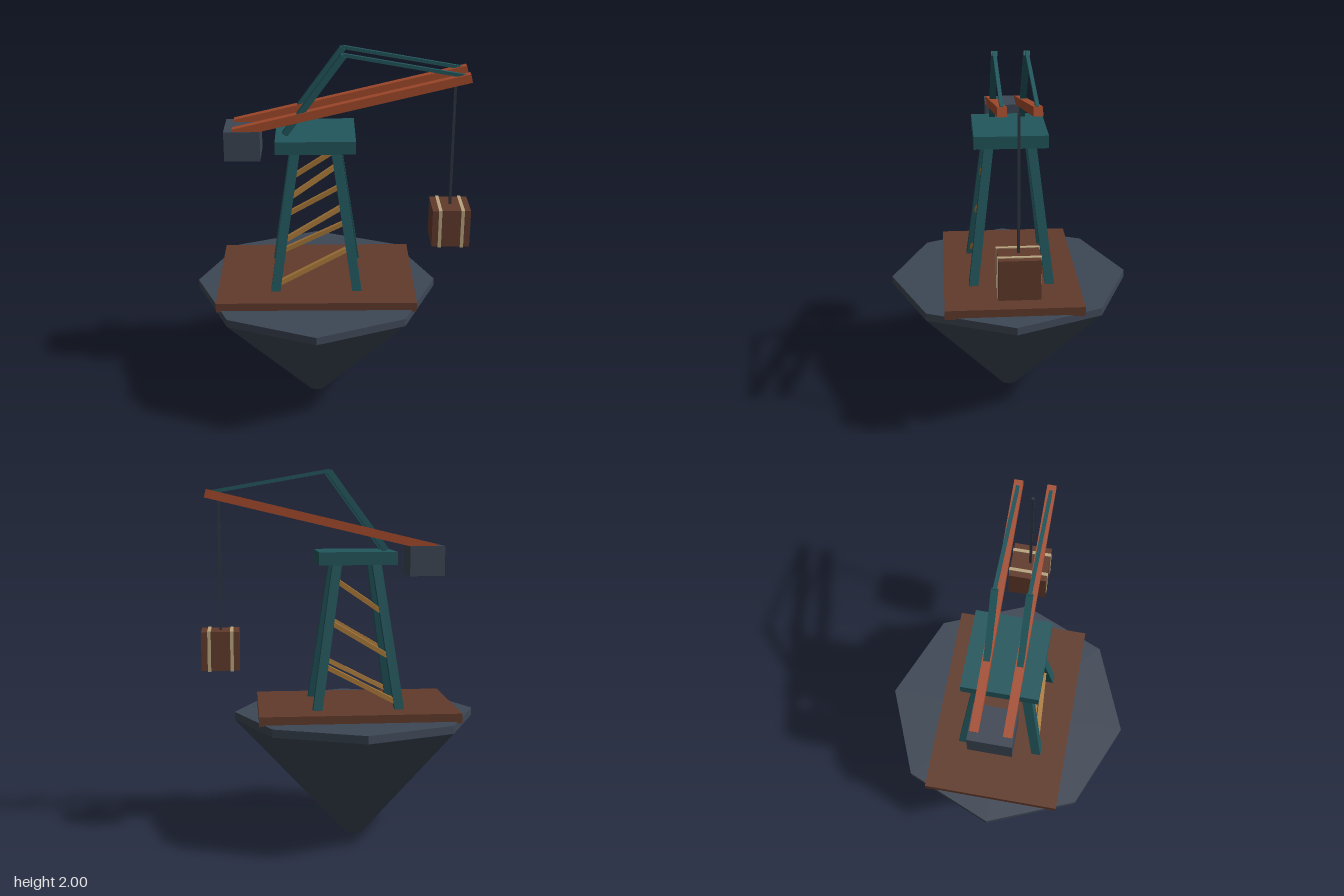
import * as THREE from 'three';

const paint = (name, color, flat = true) => {
  const m = new THREE.MeshStandardMaterial({ color, flatShading: flat });
  m.name = name;
  return m;
};

export function createModel() {
  const slate = paint('slate', 0x3d4654);
  const brown = paint('brown wood', 0x613a2b);
  const teal = paint('teal', 0x22575d);
  const rust = paint('rust', 0xa34a2b);
  const ochre = paint('ochre', 0xaf7d3c);
  const cream = paint('cream', 0xb9a47e);
  const rope = paint('rope', 0x2f3540);

  const model = new THREE.Group();
  model.name = 'harborCrane';
  const CX = -0.088; // centre line of base and tower

  const add = (name, geo, mat, x = 0, y = 0, z = 0) => {
    const mesh = new THREE.Mesh(geo, mat);
    mesh.name = name;
    mesh.position.set(x, y, z);
    model.add(mesh);
    return mesh;
  };
  // Box given by its extents
  const block = (name, mat, x0, x1, y0, y1, halfZ, z = 0) =>
    add(name, new THREE.BoxGeometry(x1 - x0, y1 - y0, halfZ * 2), mat, (x0 + x1) / 2, (y0 + y1) / 2, z);
  // Square bar between two points, its local z running along the bar
  const bar = (name, mat, a, b, thick, wide = thick) => {
    const p = new THREE.Vector3(...a), q = new THREE.Vector3(...b);
    const mesh = add(name, new THREE.BoxGeometry(wide, thick, p.distanceTo(q)), mat);
    mesh.position.copy(p).add(q).multiplyScalar(0.5);
    mesh.lookAt(q);
    return mesh;
  };

  // Octagonal rock base: rim over an inverted cone
  add('baseRim', new THREE.CylinderGeometry(0.656, 0.656, 0.042, 8), slate, CX, 0.671, 0);
  add('baseCone', new THREE.CylinderGeometry(0.656, 0.05, 0.65, 8), slate, CX, 0.325, 0);
  block('deck', brown, -0.617, 0.441, 0.684, 0.735, 0.367);

  // Tower: four slanted legs, made by shearing boxes
  const Y0 = 0.72, Y1 = 1.51;
  const legX = (y) => THREE.MathUtils.mapLinear(y, Y0, Y1, 0.22, 0.104);
  const legZ = (y) => THREE.MathUtils.mapLinear(y, Y0, Y1, 0.208, 0.111);
  for (const sx of [-1, 1]) {
    for (const sz of [-1, 1]) {
      const geo = new THREE.BoxGeometry(0.05, Y1 - Y0, 0.05);
      geo.translate(0, (Y0 + Y1) / 2, 0);
      const p = geo.attributes.position;
      for (let i = 0; i < p.count; i++) {
        const y = p.getY(i);
        p.setX(i, p.getX(i) + sx * legX(y));
        p.setZ(i, p.getZ(i) + sz * legZ(y));
      }
      geo.computeVertexNormals();
      add('towerLeg', geo, teal, CX, 0, 0);
    }
  }
  block('towerCap', teal, -0.296, 0.119, 1.5, 1.568, 0.195);

  // Diagonal braces on the front and back of the tower
  for (const sz of [-1, 1]) {
    for (const [ya, yb] of [[0.765, 0.97], [1.005, 1.2], [1.24, 1.42]]) {
      bar('towerBrace', ochre,
        [CX - legX(ya), ya, sz * legZ(ya)],
        [CX + legX(yb), yb, sz * legZ(yb)], 0.025);
    }
  }

  // Twin boom with raking masts and ties
  for (const z of [-0.082, 0.082]) {
    bar('boomBeam', rust, [-0.515, 1.583, z], [0.705, 1.872, z], 0.045);
    bar('mast', teal, [-0.248, 1.572, z], [0.056, 1.987, z], 0.032);
    bar('tieRod', teal, [0.052, 1.99, z], [0.67, 1.88, z], 0.018);
  }
  block('counterweight', slate, -0.563, -0.375, 1.434, 1.594, 0.111);

  // Hanging crate with two straps
  add('hoistRope', new THREE.BoxGeometry(0.014, 0.705, 0.014), rope, 0.637, 1.493, 0);
  block('crate', brown, 0.535, 0.739, 0.937, 1.145, 0.104);
  for (const x of [0.577, 0.697]) {
    block('crateStrap', cream, x - 0.009, x + 0.009, 0.933, 1.149, 0.108);
  }
  return model;
}
